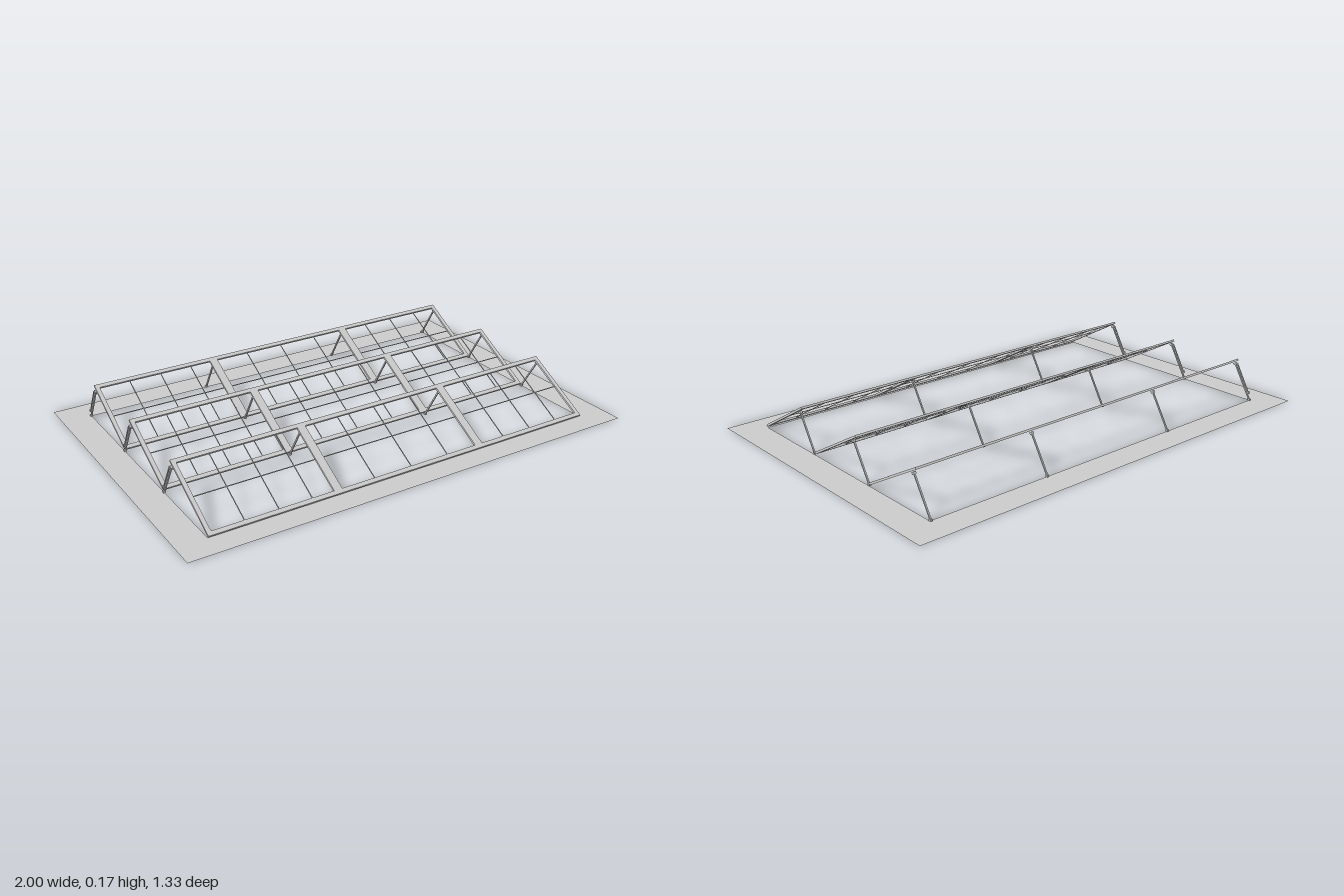
import * as THREE from 'three';

const material = new THREE.MeshStandardMaterial({ color: 0xcccccc });
const TILT = Math.atan2(0.163, 0.295);
const LENGTH = 0.337;
const BAR = 0.0175;
const THICK = 0.009;

function box(parent, name, size, position) {
  const mesh = new THREE.Mesh(new THREE.BoxGeometry(...size), material);
  mesh.name = name;
  mesh.position.set(...position);
  parent.add(mesh);
  return mesh;
}

// Square strut between two points in a plane of constant x
function strut(parent, name, x, from, to, width) {
  const dy = to[0] - from[0], dz = to[1] - from[1];
  const mesh = box(parent, name, [width, Math.hypot(dy, dz), width],
    [x, (from[0] + to[0]) / 2, (from[1] + to[1]) / 2]);
  mesh.rotation.x = Math.atan2(dz, dy);
  return mesh;
}

// Open framed module lying flat, its slope running towards -z
function createModule(x0, x1, dividers) {
  const group = new THREE.Group();
  group.name = 'panelModule';
  const mid = (x0 + x1) / 2, width = x1 - x0, y = THICK / 2;
  box(group, 'lowerRail', [width, THICK, BAR], [mid, y, -BAR / 2]);
  box(group, 'upperRail', [width, THICK, BAR], [mid, y, -LENGTH + BAR / 2]);
  for (const x of [x0 + BAR / 2, x1 - BAR / 2]) {
    box(group, 'sideRail', [BAR, THICK, LENGTH - 2 * BAR], [x, y, -LENGTH / 2]);
  }
  // Fine dividing bars
  box(group, 'crossDivider', [width - 2 * BAR, 0.003, 0.003], [mid, y, -LENGTH / 2]);
  for (const x of dividers) {
    box(group, 'slopeDivider', [0.003, 0.003, LENGTH - 2 * BAR], [x, y, -LENGTH / 2]);
  }
  return group;
}

function createRow(z) {
  const row = new THREE.Group();
  row.name = 'panelRow';
  row.position.z = z;

  // Tilted panel of three modules
  const panel = new THREE.Group();
  panel.name = 'tiltedPanel';
  panel.position.y = 0.003;
  panel.rotation.x = TILT;
  panel.add(
    createModule(-0.875, -0.335, [-0.725, -0.585, -0.445]),
    createModule(-0.335, 0.33, [-0.17, 0, 0.175]),
    createModule(0.33, 0.87, [0.46, 0.6, 0.74]),
  );
  row.add(panel);

  // Rear legs with feet and top brackets
  for (const x of [-0.875, -0.335, 0.33, 0.867]) {
    strut(row, 'rearLeg', x, [0.004, -0.366], [0.15, -0.278], 0.006);
    box(row, 'foot', [0.01, 0.008, 0.01], [x, 0.004, -0.366]);
    box(row, 'topBracket', [0.01, 0.01, 0.014], [x, 0.148, -0.279]).rotation.x = TILT;
  }

  // Adjusting rod beside the end leg
  strut(row, 'adjustingRod', -0.88, [0.03, -0.356], [0.15, -0.286], 0.004);
  box(row, 'rodClip', [0.008, 0.012, 0.008], [-0.88, 0.032, -0.356]).rotation.x = TILT;
  return row;
}

export function createModel() {
  const model = new THREE.Group();
  model.name = 'solarArray';

  // Flat ground border with a rectangular opening
  const shape = new THREE.Shape([[-1, -0.665], [1, -0.665], [1, 0.665], [-1, 0.665]]
    .map(([x, y]) => new THREE.Vector2(x, y)));
  shape.holes.push(new THREE.Path([[-0.875, -0.56], [-0.875, 0.545], [0.87, 0.545], [0.87, -0.56]]
    .map(([x, y]) => new THREE.Vector2(x, y))));
  const thin = material.clone();
  thin.side = THREE.DoubleSide;
  const border = new THREE.Mesh(new THREE.ShapeGeometry(shape), thin);
  border.name = 'groundBorder';
  border.rotation.x = -Math.PI / 2;
  model.add(border);

  for (const z of [0.567, 0.19, -0.18]) model.add(createRow(z));
  return model;
}
